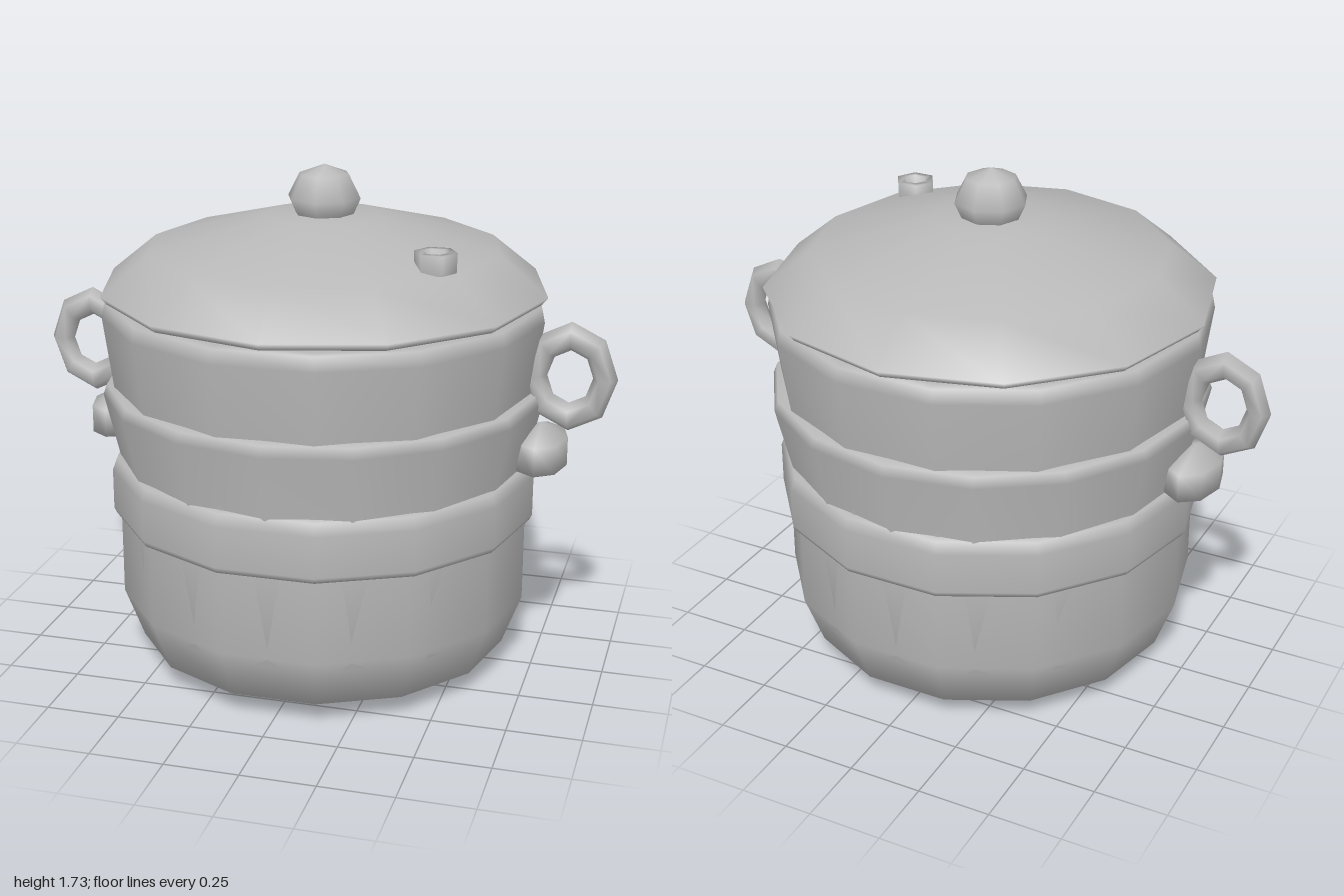
import * as THREE from 'three';

const metal = new THREE.MeshStandardMaterial({ color: 0xb8b8b8 });
metal.name = 'grey metal';

function add(parent, name, geometry, x = 0, y = 0, z = 0) {
  const mesh = new THREE.Mesh(geometry, metal);
  mesh.name = name;
  mesh.position.set(x, y, z);
  parent.add(mesh);
  return mesh;
}

// Turned part from [radius, height] pairs, with one corner facing +x
function turned(profile, sides) {
  const points = profile.map(([r, y]) => new THREE.Vector2(r, y));
  return new THREE.LatheGeometry(points, sides, Math.PI / 2);
}

export function createModel() {
  const group = new THREE.Group();
  group.name = 'steamerPot';

  // Base pot and its rim band
  add(group, 'basePot', turned([
    [0, 0], [0.5, 0], [0.645, 0.075], [0.71, 0.25], [0.71, 0.6], [0.7, 0.74],
  ], 14));
  add(group, 'baseRim', turned([
    [0.69, 0.54], [0.725, 0.54], [0.735, 0.56], [0.735, 0.7], [0.72, 0.74], [0.68, 0.745],
  ], 14));

  // Inner basket whose flared collar sits above the base rim
  add(group, 'basket', turned([
    [0, 0.19], [0.6, 0.19], [0.69, 0.22], [0.701, 0.54], [0.705, 0.74],
    [0.755, 0.96], [0.742, 0.995], [0.69, 1.0],
  ], 16));

  // Upper pot, closed under the lid
  add(group, 'upperPot', turned([
    [0.695, 0.74], [0.72, 1.0], [0.752, 1.24], [0.742, 1.288], [0.7, 1.288], [0, 1.285],
  ], 14));

  // Lid with knob
  add(group, 'lid', turned([
    [0, 1.3], [0.74, 1.3], [0.76, 1.325], [0.6, 1.455], [0.19, 1.565], [0, 1.568],
  ], 12));
  add(group, 'knob', turned([
    [0.08, 1.54], [0.1, 1.565], [0.125, 1.62], [0.085, 1.698], [0, 1.73],
  ], 8));

  // Hollow steam vent
  add(group, 'steamVent', turned([
    [0.068, 0], [0.07, 0.065], [0.042, 0.065], [0.038, 0.035], [0, 0.035],
  ], 6), 0.44, 1.46, 0.28);

  // Ring handles and the lugs below them
  for (const side of [1, -1]) {
    const name = side > 0 ? 'left' : 'right';
    const ring = add(group, name + 'RingHandle',
      new THREE.TorusGeometry(0.117, 0.041, 6, 8), side * 0.843, 1.063, 0);
    ring.scale.set(1, 1.19, 1);
    const lug = add(group, name + 'Lug',
      new THREE.SphereGeometry(1, 8, 3), side * 0.755, 0.8, 0);
    lug.scale.set(0.104, 0.097, 0.171);
  }

  return group;
}
